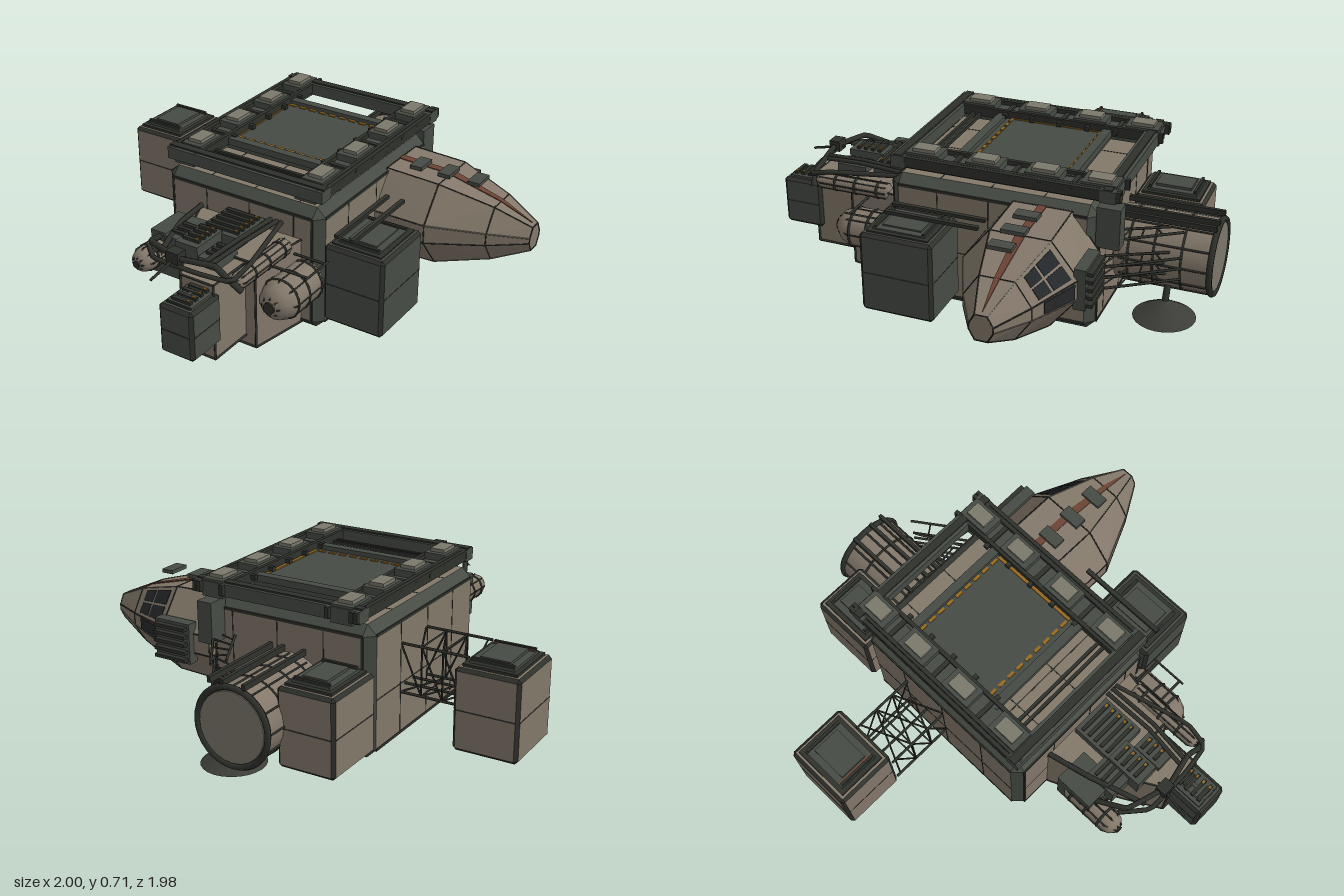
import * as THREE from 'three';
import { ConvexGeometry } from 'three/addons/geometries/ConvexGeometry.js';

const mat = (name, color, extra = {}) => new THREE.MeshStandardMaterial({ name, color, ...extra });

export function createModel() {
  const tan = mat('hullTan', 0x83786a), dark = mat('panelGrey', 0x464b44), trim = mat('trimBlack', 0x2f312c);
  const orange = mat('deckOrange', 0x96691f), rust = mat('stripeRust', 0x6b4334), pale = mat('fittingGrey', 0x7b776b);
  const glass = mat('windowGlass', 0x25282a), dishMat = mat('dishGrey', 0x3c3d38, { side: THREE.DoubleSide });
  const root = new THREE.Group();
  const V = (x, y, z) => new THREE.Vector3(x, y, z);

  const group = (name) => { const g = new THREE.Group(); g.name = name; root.add(g); return g; };
  const add = (parent, name, geo, m) => {
    const mesh = new THREE.Mesh(geo, m);
    mesh.name = name;
    parent.add(mesh);
    return mesh;
  };
  const box = (p, name, m, x0, x1, y0, y1, z0, z1) => {
    const b = add(p, name, new THREE.BoxGeometry(x1 - x0, y1 - y0, z1 - z0), m);
    b.position.set((x0 + x1) / 2, (y0 + y1) / 2, (z0 + z1) / 2);
    return b;
  };
  // Round bar from a to b
  const bar = (p, name, m, a, b, r = 0.005, sides = 6, r2 = r) => {
    const d = b.clone().sub(a);
    const c = add(p, name, new THREE.CylinderGeometry(r2, r, d.length(), sides), m);
    c.position.copy(a).add(b).multiplyScalar(0.5);
    c.quaternion.setFromUnitVectors(V(0, 1, 0), d.normalize());
    return c;
  };
  // Box with chamfered edges: flat faces take the first material, chamfers the second
  const chamferBox = (p, name, mats, x0, x1, y0, y1, z0, z1, c) => {
    const h = [(x1 - x0) / 2, (y1 - y0) / 2, (z1 - z0) / 2], pts = [];
    for (const sx of [-1, 1]) for (const sy of [-1, 1]) for (const sz of [-1, 1])
      for (let k = 0; k < 3; k++)
        pts.push(V(...[sx, sy, sz].map((s, i) => s * (h[i] - (i === k ? 0 : c)))));
    const geo = new ConvexGeometry(pts), n = geo.attributes.normal;
    for (let i = 0; i < n.count; i += 3) {
      const flat = Math.max(Math.abs(n.getX(i)), Math.abs(n.getY(i)), Math.abs(n.getZ(i))) > 0.99;
      geo.addGroup(i, 3, flat ? 0 : 1);
    }
    const b = add(p, name, geo, mats);
    b.position.set((x0 + x1) / 2, (y0 + y1) / 2, (z0 + z1) / 2);
  };
  // Seam hoops around a box at constant x, y or z
  const hoop = (p, axis, at, e, c) => {
    const lo = [e[0], e[2], e[4]], hi = [e[1], e[3], e[5]], t = 0.0025;
    const [a, b] = [0, 1, 2].filter((i) => i !== axis);
    for (const [u, v] of [[a, b], [b, a]]) for (const side of [lo[u], hi[u]]) {
      const r = [];
      r[axis] = [at - t, at + t];
      r[u] = [side - t / 2, side + t / 2];
      r[v] = [lo[v] + c, hi[v] - c];
      box(p, 'seam', trim, ...r[0], ...r[1], ...r[2]);
    }
  };

  // Main hull
  const hull = group('mainHull'), H = [-0.43, 0.36, 0.02, 0.595, -0.56, 0.36];
  chamferBox(hull, 'hullBody', [tan, dark], ...H, 0.042);
  for (const x of [-0.21, 0.01, 0.23]) hoop(hull, 0, x, H, 0.042);
  for (const z of [-0.32, -0.09, 0.14]) hoop(hull, 2, z, H, 0.042);
  hoop(hull, 1, 0.28, H, 0.042);
  for (const y of [0.062, 0.553]) for (const z of [-0.562, 0.356])
    box(hull, 'edgeTrim', trim, -0.388, 0.318, y - 0.006, y + 0.006, z, z + 0.006);
  for (const y of [0.062, 0.553]) for (const x of [-0.432, 0.356])
    box(hull, 'edgeTrim', trim, x, x + 0.006, y - 0.006, y + 0.006, -0.518, 0.318);
  for (const x of [-0.388, 0.318]) for (const z of [-0.562, 0.356])
    box(hull, 'cornerTrim', trim, x - 0.005, x + 0.005, 0.06, 0.555, z, z + 0.006);

  // Landing deck and roof frame
  const frame = group('roofFrame');
  box(frame, 'deckPlate', dark, -0.3, 0.24, 0.615, 0.65, -0.41, 0.1);
  for (const z of [-0.37, 0.045]) for (let i = 0; i < 9; i++)
    box(frame, 'deckMark', orange, -0.27 + i * 0.053, -0.235 + i * 0.053, 0.65, 0.655, z - 0.007, z + 0.007);
  for (const x of [-0.275, 0.205])
    box(frame, 'deckLine', orange, x - 0.008, x + 0.008, 0.65, 0.655, -0.37, 0.05);
  for (const z of [-0.63, 0.285]) {
    box(frame, 'endBeam', dark, -0.42, 0.36, 0.632, 0.685, z, z + 0.065);
    box(frame, 'endBeamCap', trim, -0.42, 0.36, 0.685, 0.692, z + 0.015, z + 0.05);
  }
  for (const z of [-0.4, 0.095]) box(frame, 'crossBeam', dark, -0.3, 0.24, 0.64, 0.67, z - 0.02, z + 0.02);
  for (const z of [0.2, 0.23]) box(frame, 'crossBar', trim, -0.3, 0.24, 0.64, 0.655, z, z + 0.014);
  for (const [cx, s] of [[-0.335, -1], [0.275, 1]]) {
    box(frame, 'sideRail', dark, cx - 0.05, cx + 0.05, 0.62, 0.665, -0.63, 0.345);
    for (const o of [-0.055, 0.055, 0.075])
      box(frame, 'railLip', trim, cx + s * o - 0.009, cx + s * o + 0.009, 0.64, 0.685, -0.65, 0.345);
    for (const z of [-0.55, -0.31, -0.05, 0.22]) {
      box(frame, 'railPad', dark, cx - 0.05, cx + 0.05, 0.665, 0.695, z - 0.075, z + 0.075);
      box(frame, 'railFitting', pale, cx - 0.033, cx + 0.033, 0.695, 0.71, z - 0.05, z + 0.05);
    }
    for (let z = -0.44; z < 0.2; z += 0.13)
      box(frame, 'railClamp', trim, cx - 0.085, cx + 0.085, 0.655, 0.675, z - 0.01, z + 0.01);
  }

  // Cargo pods with stepped lids
  const pod = (name, e, m, lid) => {
    const g = group(name), [x0, x1, y0, y1, z0, z1] = e;
    chamferBox(g, 'podBody', [m, trim], ...e, 0.014);
    hoop(g, 1, (y0 + y1) / 2, e, 0.014);
    const steps = [[0.025, trim], [0.045, dark], [0.075, dark]];
    steps.forEach(([i, lm], k) => box(g, 'podLid', lm, x0 + i, x1 - i, y1 - 0.002, y1 + lid * (k + 1) / 3, z0 + i, z1 - i));
    for (const z of [z0 + 0.055, z1 - 0.055])
      box(g, 'lidRib', trim, x0 + 0.05, x1 - 0.05, y1, y1 + lid, z - 0.006, z + 0.006);
    return g;
  };
  const sidePod = pod('outriggerPod', [-1, -0.72, 0.1, 0.455, -0.43, -0.11], tan, 0.035);
  box(sidePod, 'lidStripe', rust, -0.95, -0.77, 0.478, 0.483, -0.18, -0.166);
  pod('frontSidePod', [0.375, 0.655, 0.1, 0.46, 0.035, 0.36], dark, 0.02);
  pod('rearPod', [-0.45, -0.19, 0.08, 0.42, -0.87, -0.56], tan, 0.035);
  for (const x of [0.41, 0.485]) box(root, 'podRail', trim, x - 0.01, x + 0.01, 0.48, 0.495, -0.1, 0.32);

  // Truss to the outrigger pod
  const truss = group('outriggerTruss');
  const corners = [[0.24, -0.31], [0.455, -0.31], [0.455, -0.09], [0.24, -0.09]];
  corners.forEach(([y, z], i) => {
    const [y2, z2] = corners[(i + 1) % 4];
    bar(truss, 'longeron', trim, V(-0.73, y, z), V(-0.42, y, z), 0.006);
    for (let k = 0; k < 3; k++) {
      const xa = -0.71 + k * 0.095, xb = xa + 0.095;
      bar(truss, 'brace', trim, V(xa, y, z), V(xb, y2, z2), 0.004);
      bar(truss, 'batten', trim, V(xb, y, z), V(xb, y2, z2), 0.004);
    }
  });
  for (const z of [-0.28, -0.21]) bar(truss, 'conduit', trim, V(-0.73, 0.27, z), V(-0.42, 0.27, z), 0.006);

  // Faceted nose
  const nose = group('nose');
  const secs = [[0.35, 0.245, 0.2], [0.6, 0.245, 0.19], [0.84, 0.14, 0.125], [1, 0.05, 0.055]];
  const ring = secs.map(([x, hz, hy]) => [[1, 0.22], [0.52, 1], [-0.52, 1], [-1, 0.22], [-1, -0.22], [-0.52, -1], [0.52, -1], [1, -0.22]]
    .map(([z, y]) => V(x, 0.367 + y * hy, -0.325 + z * hz)));
  add(nose, 'noseShell', new ConvexGeometry(ring.flat()), tan);
  for (let i = 0; i < 4; i++) for (let k = 0; k < 8; k++) {
    bar(nose, 'noseRib', trim, ring[i][k], ring[i][(k + 1) % 8], 0.003, 4);
    if (i < 3) bar(nose, 'noseEdge', i === 0 || k % 2 ? trim : pale, ring[i][k], ring[i + 1][k], 0.003, 4);
  }
  // Thin panel lying on facet k between sections i and i+1; u runs along x, v runs round the ring
  const facet = (name, m, i, k, u0, u1, v0, v1, w0 = v0, w1 = v1) => {
    const at = (u, v) => ring[i][k].clone().lerp(ring[i + 1][k], u)
      .lerp(ring[i][(k + 1) % 8].clone().lerp(ring[i + 1][(k + 1) % 8], u), v);
    const q = [at(u0, v0), at(u1, w0), at(u1, w1), at(u0, v1)];
    const n = q[1].clone().sub(q[0]).cross(q[3].clone().sub(q[0])).normalize();
    if (n.dot(q[0].clone().sub(V(0.5, 0.367, -0.325))) < 0) n.negate();
    const pts = q.flatMap((p) => [p.clone().addScaledVector(n, -0.002), p.clone().addScaledVector(n, 0.004)]);
    add(nose, name, new ConvexGeometry(pts), m);
  };
  for (const k of [1, 5]) {
    facet('noseStripe', rust, 0, k, 0, 1, 0.43, 0.57);
    facet('noseStripe', rust, 1, k, 0, 1, 0.42, 0.58);
    facet('noseStripe', rust, 2, k, 0, 0.9, 0.42, 0.58, 0.49, 0.51);
  }
  for (const [v0, v1] of [[0.1, 0.47], [0.53, 0.9]]) {
    facet('window', glass, 1, 2, 0.12, 0.5, v0, v1);
    facet('window', glass, 1, 2, 0.55, 0.82, v0, v1);
  }
  facet('sideWindow', glass, 1, 3, 0.1, 0.75, 0.1, 0.9);
  for (const x of [0.46, 0.595, 0.735]) box(nose, 'roofSensor', dark, x - 0.028, x + 0.028, 0.565, 0.582, -0.35, -0.25);
  // Louvred intake on the rear flank of the nose
  box(nose, 'intake', dark, 0.43, 0.61, 0.28, 0.46, -0.6, -0.55);
  for (let i = 0; i < 5; i++) box(nose, 'louvre', trim, 0.44, 0.6, 0.292 + i * 0.035, 0.307 + i * 0.035, -0.625, -0.59);

  // Rear engine drum, belly dish and its mast
  const drum = group('rearDrum'), dc = [-0.06, 0.26];
  bar(drum, 'drumBody', tan, V(...dc, -0.55), V(...dc, -0.975), 0.165, 24);
  for (const z of [-0.62, -0.73, -0.85, -0.975]) {
    const r = add(drum, 'drumBand', new THREE.TorusGeometry(0.165, z < -0.9 ? 0.014 : 0.005, 6, 32), trim);
    r.position.set(...dc, z);
  }
  bar(drum, 'drumCap', pale, V(...dc, -0.97), V(...dc, -0.982), 0.15, 24);
  for (let i = 0; i < 12; i++) {
    const a = i * Math.PI / 6, x = dc[0] + 0.167 * Math.cos(a), y = dc[1] + 0.167 * Math.sin(a);
    bar(drum, 'drumRib', trim, V(x, y, -0.58), V(x, y, -0.975), 0.005, 4);
  }
  for (const x of [-0.12, -0.02, 0.04]) box(drum, 'drumRail', trim, x - 0.008, x + 0.008, 0.425, 0.45, -0.98, -0.56);
  const dish = add(drum, 'dish', new THREE.ConeGeometry(0.137, 0.085, 24, 1, true), dishMat);
  dish.position.set(0.075, 0.0425, -0.79);
  bar(drum, 'dishStem', trim, V(0.075, 0.07, -0.79), V(0.04, 0.15, -0.79), 0.015);
  for (const y of [0.22, 0.27, 0.32, 0.44]) {
    bar(drum, 'mastBeam', trim, V(0.33, y, -0.56), V(0.12, y, -0.86), 0.006);
    bar(drum, 'mastBeam', trim, V(0.22, y, -0.56), V(0.09, y, -0.8), 0.006);
    for (let t = 0; t < 1; t += 0.25)
      bar(drum, 'mastBrace', trim, V(0.33 - 0.21 * t, y, -0.56 - 0.3 * t), V(0.2 - 0.1 * t, y, -0.6 - 0.2 * t), 0.004);
  }
  box(drum, 'mastFoot', dark, 0.27, 0.34, 0.42, 0.6, -0.65, -0.55);

  // Stepped forward block with slanted flank
  const bow = group('forwardBlock');
  const prism = (name, pts, y0, y1, m) => {
    const s = new THREE.Shape(pts.map(([x, z]) => new THREE.Vector2(x, -z)));
    const p = add(bow, name, new THREE.ExtrudeGeometry(s, { depth: y1 - y0, bevelEnabled: false }), m);
    p.rotation.x = -Math.PI / 2;
    p.position.y = y0;
  };
  const inner = [[-0.25, 0.35], [-0.13, 0.62], [0.22, 0.62], [0.27, 0.35]];
  const outer = [[-0.12, 0.6], [0.01, 0.83], [0.17, 0.83], [0.17, 0.6]];
  prism('innerBlock', inner, 0.045, 0.45, tan);
  prism('outerBlock', outer, 0.09, 0.44, tan);
  for (const [pts, y0, y1] of [[inner, 0.05, 0.448], [outer, 0.095, 0.438]]) pts.forEach(([x, z], i) => {
    const [x2, z2] = pts[(i + 1) % 4];
    for (const y of [y0, y1]) bar(bow, 'blockEdge', trim, V(x, y, z), V(x2, y, z2), 0.006, 4);
    bar(bow, 'blockCorner', trim, V(x, y0, z), V(x, y1, z), 0.006, 4);
  });
  pod('bowPod', [0.02, 0.185, 0.17, 0.395, 0.8, 0.99], dark, 0.02);
  // Vented roof boxes
  for (const [x0, x1, z0, z1, y] of [[-0.09, 0.1, 0.37, 0.57, 0.5], [-0.19, -0.05, 0.54, 0.68, 0.48],
    [-0.09, 0.02, 0.56, 0.73, 0.51], [0.03, 0.12, 0.6, 0.74, 0.48], [0.045, 0.165, 0.81, 0.96, 0.405]]) {
    box(bow, 'ventBox', dark, x0, x1, y - 0.11, y, z0, z1);
    for (let z = z0 + 0.02; z < z1 - 0.02; z += 0.035) {
      box(bow, 'ventSlat', trim, x0 + 0.015, x1 - 0.015, y, y + 0.012, z, z + 0.016);
      box(bow, 'ventLamp', orange, x1 - 0.035, x1 - 0.022, y + 0.012, y + 0.016, z + 0.003, z + 0.013);
    }
  }
  box(bow, 'flankBox', dark, -0.29, -0.13, 0.26, 0.46, 0.46, 0.64);

  // Capsule tanks: rounded cylinder along z with bands and end hub
  const tank = (name, x, y, z0, z1, r) => {
    const g = group(name), k = 0.35 * r;
    const prof = [[0, z1], [r * 0.4, z1], [r * 0.8, z1 - k], [r, z1 - 2.4 * k], [r, z0 + k], [r * 0.7, z0], [0, z0]];
    const t = add(g, 'tankShell', new THREE.LatheGeometry(prof.reverse().map(([a, b]) => new THREE.Vector2(a, b)), 14), tan);
    t.rotation.x = Math.PI / 2;
    t.position.set(x, y, 0);
    for (const f of [0.15, 0.45, 0.72]) {
      const b = add(g, 'tankBand', new THREE.TorusGeometry(r, 0.006, 5, 18), trim);
      b.position.set(x, y, z0 + (z1 - z0) * f);
    }
    bar(g, 'tankHub', trim, V(x, y, z1 - 0.005), V(x, y, z1 + 0.008), r * 0.3, 10);
    for (let i = 0; i < 8; i++) {
      const a = i * Math.PI / 4, c = Math.cos(a), s = Math.sin(a);
      bar(g, 'tankRib', trim, V(x + r * c, y + r * s, z0 + k), V(x + r * c, y + r * s, z1 - 2.4 * k), 0.004, 4);
      bar(g, 'tankRib', trim, V(x + r * c, y + r * s, z1 - 2.4 * k), V(x + r * 0.4 * c, y + r * 0.4 * s, z1), 0.004, 4);
    }
  };
  tank('largeTank', 0.3, 0.28, 0.34, 0.64, 0.088);
  tank('flankTank', -0.255, 0.37, 0.5, 0.78, 0.053);
  tank('roofTank', 0.235, 0.445, 0.42, 0.78, 0.035);

  // Pipes and folded crane arm
  const pipes = group('pipework');
  const pipe = (name, pts, r) => add(pipes, name,
    new THREE.TubeGeometry(new THREE.CatmullRomCurve3(pts.map((p) => V(...p)), false, 'catmullrom', 0.1), 32, r, 6), trim);
  pipe('loopPipe', [[-0.22, 0.45, 0.74], [-0.12, 0.47, 0.83], [0.1, 0.47, 0.83], [0.24, 0.47, 0.81], [0.255, 0.5, 0.7], [0.17, 0.5, 0.36]], 0.011);
  pipe('craneArm', [[-0.26, 0.42, 0.6], [-0.19, 0.49, 0.76], [0, 0.5, 0.82], [0.15, 0.5, 0.79], [0.22, 0.47, 0.8], [0.27, 0.42, 0.78]], 0.013);
  pipe('sidePipe', [[-0.24, 0.46, 0.36], [-0.2, 0.48, 0.55], [-0.12, 0.47, 0.8]], 0.012);
  for (const x of [0.12, 0.15]) pipe('roofPipe', [[x, 0.5, 0.36], [x, 0.515, 0.6], [x - 0.02, 0.5, 0.8]], 0.01);
  bar(pipes, 'probe', trim, V(-0.02, 0.5, 0.78), V(-0.04, 0.455, 0.95), 0.006);
  box(pipes, 'probeHead', trim, -0.05, 0.01, 0.48, 0.53, 0.79, 0.84);
  for (const z of [0.4, 0.53]) bar(pipes, 'tankStrut', trim, V(0.2, 0.4, z), V(0.41, 0.4, z), 0.006);
  bar(pipes, 'handRail', trim, V(0.41, 0.4, 0.38), V(0.41, 0.4, 0.55), 0.005);

  return root;
}
